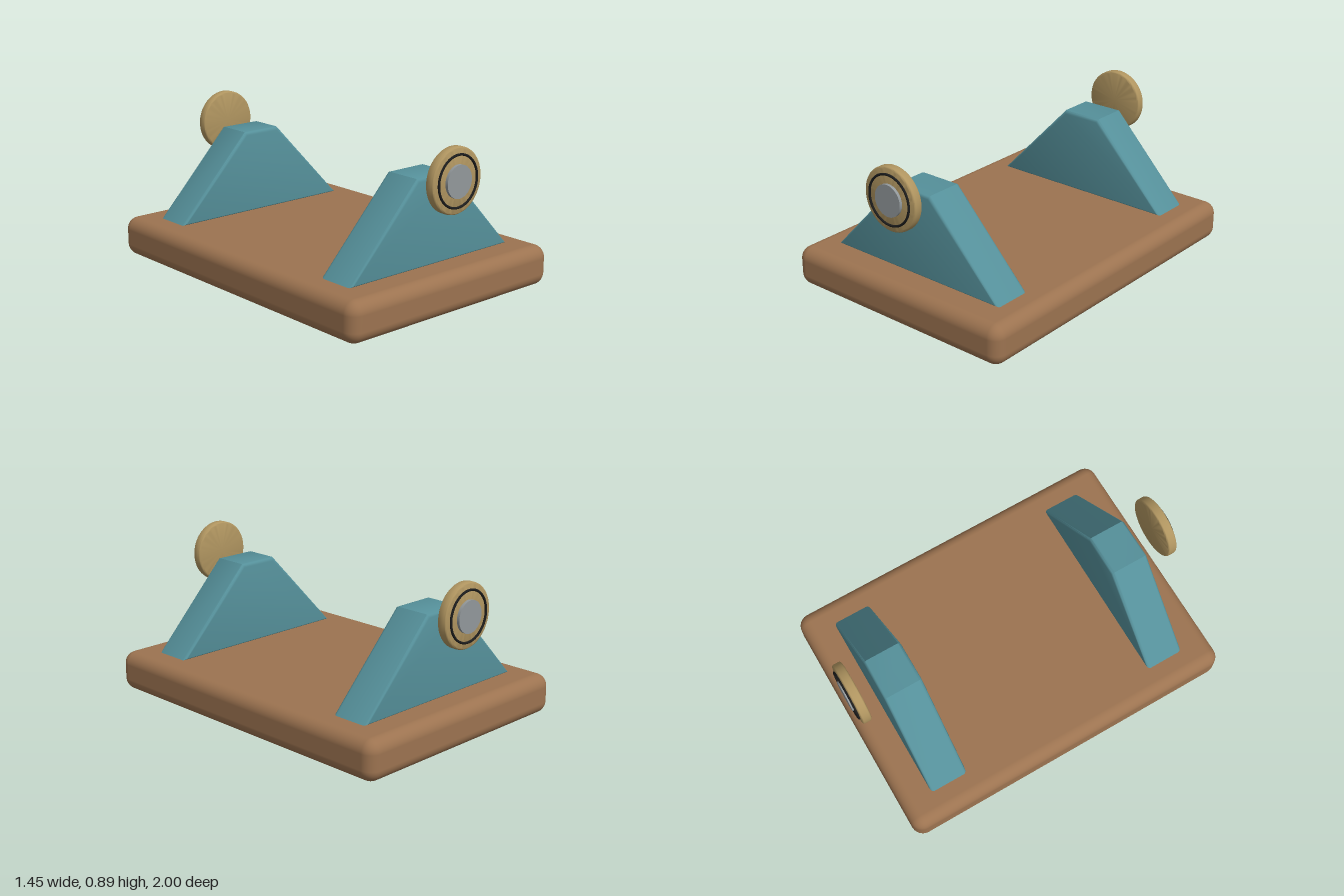
import * as THREE from 'three';
import { RoundedBoxGeometry } from 'three/addons/geometries/RoundedBoxGeometry.js';
import { toCreasedNormals } from 'three/addons/utils/BufferGeometryUtils.js';

const material = (name, color) => {
  const m = new THREE.MeshStandardMaterial({ color });
  m.name = name;
  return m;
};

function add(parent, name, geometry, mat, x = 0, y = 0, z = 0) {
  const mesh = new THREE.Mesh(geometry, mat);
  mesh.name = name;
  mesh.position.set(x, y, z);
  parent.add(mesh);
  return mesh;
}

// Disc facing +z with a rounded rim
function roundedDisc(radius, depth, bevel) {
  const h = depth / 2, points = [new THREE.Vector2(0, -h)];
  for (const side of [-1, 1]) {
    for (let i = 0; i <= 4; i++) {
      const a = (side < 0 ? i - 4 : i) / 4 * Math.PI / 2;
      points.push(new THREE.Vector2(
        radius - bevel + Math.cos(a) * bevel,
        side * (h - bevel) + Math.sin(a) * bevel));
    }
  }
  points.push(new THREE.Vector2(0, h));
  return toCreasedNormals(new THREE.LatheGeometry(points, 64).rotateX(Math.PI / 2), 0.6);
}

// Bevelled trapezoid wedge, extruded along z
function wedge(bottomHalf, topHalf, y0, y1, z0, z1, bevel) {
  const shape = new THREE.Shape([
    new THREE.Vector2(-bottomHalf, y0), new THREE.Vector2(bottomHalf, y0),
    new THREE.Vector2(topHalf, y1), new THREE.Vector2(-topHalf, y1),
  ]);
  const g = new THREE.ExtrudeGeometry(shape, {
    depth: z1 - z0 - 2 * bevel, bevelThickness: bevel, bevelSize: bevel,
    bevelOffset: -bevel, bevelSegments: 4,
  });
  g.translate(0, 0, z0 + bevel);
  return toCreasedNormals(g, 0.7);
}

export function createModel() {
  const wood = material('brown wood', 0x9c7350);
  const teal = material('teal paint', 0x55909a);
  const brass = material('brass', 0xb09560);
  const steel = material('grey steel', 0x92989b);
  const rubber = material('black rubber', 0x1c1c1c);

  const model = new THREE.Group();
  model.name = 'cradleStand';

  // Base slab
  add(model, 'base', new RoundedBoxGeometry(1.45, 0.227, 2, 6, 0.07), wood, 0, 0.1165, 0);

  // Foot pads flush with the underside
  const padGeometry = new THREE.BoxGeometry(0.25, 0.008, 0.25);
  for (const x of [-0.46, 0.46]) {
    for (const z of [-0.75, 0.75]) add(model, 'footPad', padGeometry, rubber, x, 0.004, z);
  }

  // Matching support and end disc at the front and back
  const supportGeometry = wedge(0.575, 0.12, 0.23, 0.71, 0.595, 0.82, 0.02);
  const discGeometry = roundedDisc(0.177, 0.055, 0.013);
  const ringGeometry = new THREE.TorusGeometry(0.138, 0.0065, 12, 64);
  const capGeometry = new THREE.CylinderGeometry(0.088, 0.088, 0.02, 48).rotateX(Math.PI / 2);
  for (const [name, turn] of [['frontEnd', 0], ['backEnd', Math.PI]]) {
    const end = new THREE.Group();
    end.name = name;
    end.rotation.y = turn;
    add(end, 'support', supportGeometry, teal);
    add(end, 'endDisc', discGeometry, brass, 0, 0.711, 0.9525);
    add(end, 'sealRing', ringGeometry, rubber, 0, 0.711, 0.984);
    add(end, 'centreCap', capGeometry, steel, 0, 0.711, 0.986);
    model.add(end);
  }
  return model;
}
